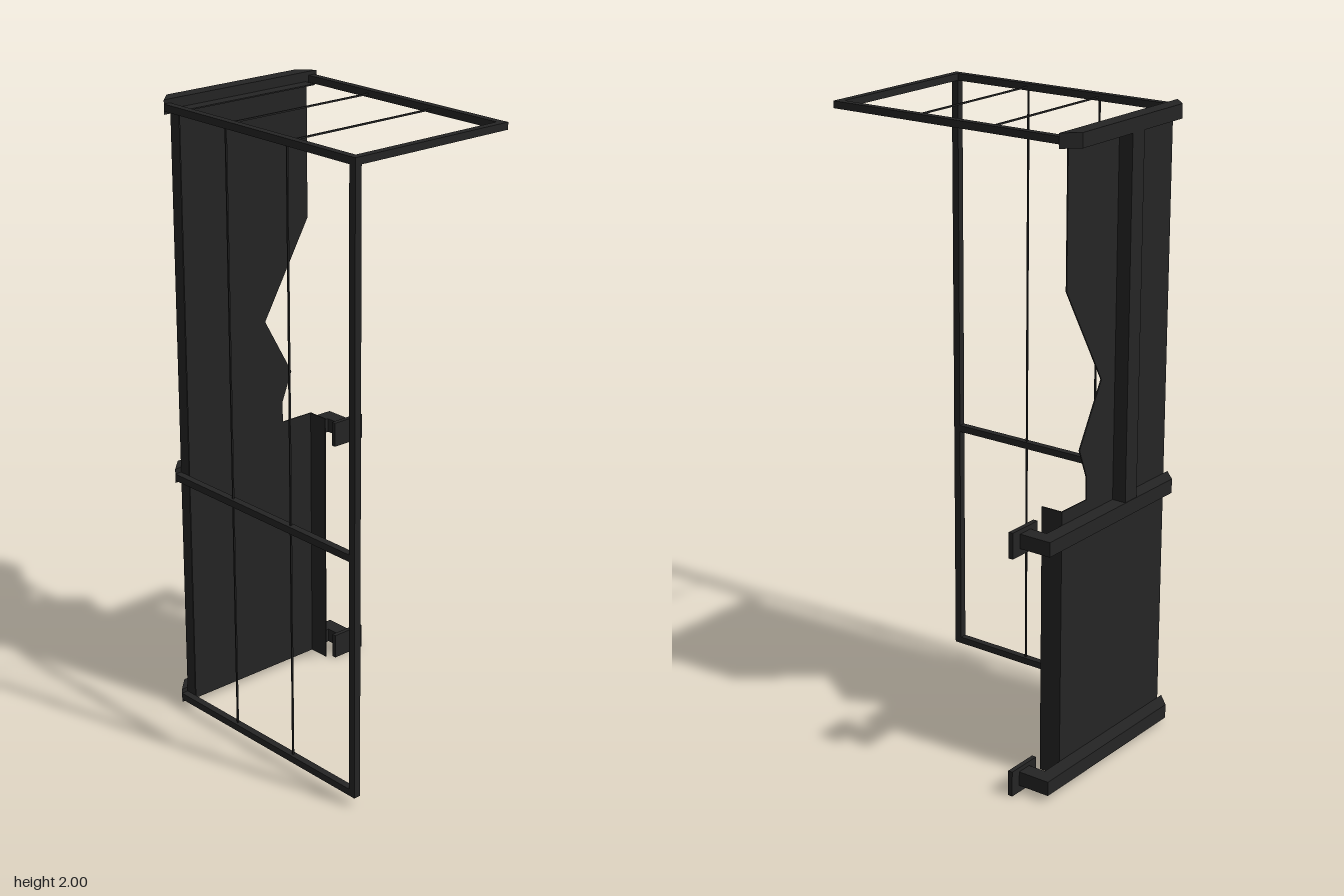
import * as THREE from 'three';

export function createModel() {
  const model = new THREE.Group();
  model.name = 'frameAssembly';
  const mat = new THREE.MeshStandardMaterial({ color: 0x242424 });

  const add = (name, geometry) => {
    const mesh = new THREE.Mesh(geometry, mat);
    mesh.name = name;
    model.add(mesh);
    return mesh;
  };
  // Box given by its limits on each axis
  const box = (name, [x0, x1], [y0, y1], [z0, z1]) => {
    const mesh = add(name, new THREE.BoxGeometry(x1 - x0, y1 - y0, z1 - z0));
    mesh.position.set((x0 + x1) / 2, (y0 + y1) / 2, (z0 + z1) / 2);
  };
  const outline = (points) => new THREE.Shape(points.map(([x, y]) => new THREE.Vector2(x, y)));
  // Plan outline (x, z) extruded downwards from yTop
  const planBar = (name, points, yTop, height) => {
    const g = new THREE.ExtrudeGeometry(outline(points), { depth: height, bevelEnabled: false });
    g.rotateX(Math.PI / 2);
    add(name, g).position.y = yTop;
  };

  // Side frame: front post and three rails
  const sideX = [-0.36, -0.337];
  box('sideFrontPost', sideX, [0.032, 1.988], [0.411, 0.435]);
  for (const [name, y] of [['sideTopRail', 1.966], ['sideMiddleRail', 0.8], ['sideBottomRail', 0.032]]) {
    box(name, sideX, [y, y + 0.022], [-0.388, 0.411]);
  }

  // Roof frame
  const roofY = [1.966, 1.988];
  box('roofFrontRail', [-0.337, 0.223], roofY, [0.411, 0.435]);
  box('roofSideRail', [0.2, 0.223], roofY, [-0.388, 0.411]);

  // Thin wires across the side and roof
  for (const z of [-0.12, 0.145]) {
    box('sideWire', [-0.351, -0.346], [0.043, 1.977], [z - 0.0025, z + 0.0025]);
    box('roofWire', [-0.348, 0.21], [1.974, 1.979], [z - 0.0025, z + 0.0025]);
  }

  // Thin back sheet with a broken upper edge
  const sheet = new THREE.ExtrudeGeometry(outline([
    [-0.337, 0.019], [0.2, 0.019], [0.2, 0.88], [0.077, 0.88], [0.077, 0.95], [0.115, 1.045],
    [0.009, 1.235], [0.188, 1.54], [0.188, 1.97], [-0.337, 1.97],
  ]), { depth: 0.004, bevelEnabled: false });
  add('backSheet', sheet).position.z = -0.388;

  // Folded edges of the sheet
  box('sheetSideFlange', [-0.337, -0.333], [0.019, 1.97], [-0.384, -0.348]);
  box('sheetTopFlange', [-0.333, 0.188], [1.966, 1.97], [-0.384, -0.348]);
  box('sheetLowerFlange', [0.196, 0.2], [0.019, 0.88], [-0.384, -0.315]);

  // Upright stiffener behind the sheet
  box('backStiffener', [-0.12, -0.06], [0.838, 1.956], [-0.434, -0.388]);

  // Top beam with mitred ends
  planBar('topBackBeam', [[-0.36, -0.388], [-0.312, -0.436], [0.187, -0.436], [0.232, -0.388]], 2, 0.044);

  // Two lower beams, each with a forward arm and a mounting plate
  for (const [prefix, y] of [['middle', 0.838], ['bottom', 0.068]]) {
    planBar(prefix + 'BackBeam', [
      [-0.36, -0.388], [-0.312, -0.436], [0.325, -0.436],
      [0.325, -0.33], [0.275, -0.33], [0.275, -0.388],
    ], y, 0.046);
    box(prefix + 'MountingPlate', [0.24, 0.36], [y - 0.068, y + 0.014], [-0.33, -0.315]);
  }

  return model;
}
